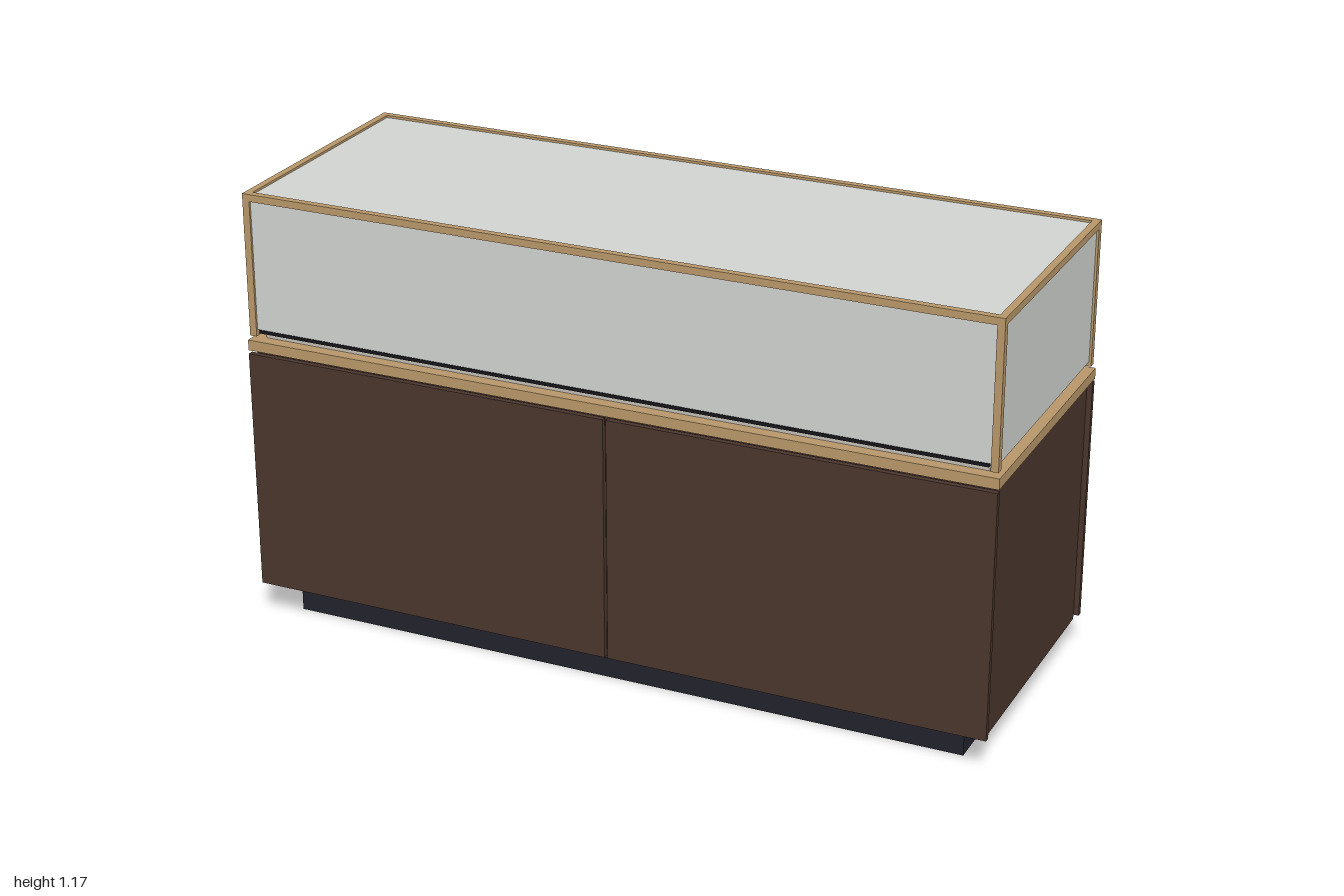
import * as THREE from 'three';

const mat = (name, color, extra = {}) => {
  const m = new THREE.MeshStandardMaterial({ color, ...extra });
  m.name = name;
  return m;
};

export function createModel() {
  const root = new THREE.Group();
  root.name = 'displayCounter';

  const walnut = mat('dark walnut', 0x4a362d);
  const oak = mat('light oak', 0xb8976a);
  const charcoal = mat('charcoal plinth', 0x22222d);
  const black = mat('black metal', 0x16161b);
  const glass = mat('pale glass', 0xd0d3d0);
  const deckGrey = mat('deck lining', 0xc4bfb4);
  const burgundy = mat('burgundy velvet', 0x4a2a30);

  // Box given by its minimum and maximum on each axis
  const box = (name, material, [x0, x1], [y0, y1], [z0, z1], parent = root) => {
    const mesh = new THREE.Mesh(new THREE.BoxGeometry(x1 - x0, y1 - y0, z1 - z0), material);
    mesh.position.set((x0 + x1) / 2, (y0 + y1) / 2, (z0 + z1) / 2);
    mesh.name = name;
    parent.add(mesh);
    return mesh;
  };

  // Recessed plinth and cabinet carcass
  box('plinth', charcoal, [-0.92, 0.92], [0, 0.083], [-0.29, 0.298]);
  box('cabinetBody', walnut, [-0.985, 0.985], [0.083, 0.748], [-0.342, 0.348]);

  // Front panels, back doors and their pulls, one pair per side
  for (const s of [-1, 1]) {
    const span = [Math.min(s * 0.004, s * 0.998), Math.max(s * 0.004, s * 0.998)];
    box('frontPanel', walnut, span, [0.093, 0.74], [0.352, 0.367]);
    box('backDoor', walnut, span, [0.093, 0.74], [-0.36, -0.345]);
    box('doorPull', black, [s * 0.5 - 0.08, s * 0.5 + 0.08], [0.672, 0.685], [-0.367, -0.359]);
  }

  // Counter slab and lined display deck
  box('counterTop', oak, [-1, 1], [0.748, 0.776], [-0.357, 0.364]);
  box('displayDeck', deckGrey, [-0.965, 0.965], [0.776, 0.79], [-0.324, 0.331]);
  box('largePad', burgundy, [-0.73, -0.36], [0.79, 0.802], [-0.095, 0.16]);
  box('smallPad', black, [0.39, 0.63], [0.79, 0.802], [-0.095, 0.045]);

  // Glazed case with an oak frame
  const glassCase = new THREE.Group();
  glassCase.name = 'glassCase';
  glassCase.position.z = 0.0045;
  root.add(glassCase);
  const X = 0.995, Z = 0.3555, T = 0.019, Y0 = 0.788, Y1 = 1.167;

  for (const s of [-1, 1]) {
    const range = (a, b) => (s > 0 ? [a, b] : [-b, -a]);
    // Long and short top rails
    box('longTopRail', oak, [-X + T, X - T], [Y1 - T, Y1], range(Z - T, Z), glassCase);
    box('sideTopRail', oak, range(X - T, X), [Y1 - T, Y1], [-Z + T, Z - T], glassCase);
    // Corner posts
    for (const x of [[-X, -X + T], [X - T, X]])
      box('cornerPost', oak, x, [Y0, Y1], range(Z - T, Z), glassCase);
    // Upright panes and the dark channel below the long ones
    box('longPane', glass, [-X + T, X - T], [0.805, Y1 - T], range(Z - 0.013, Z - 0.006), glassCase);
    box('endPane', glass, range(X - 0.013, X - 0.006), [0.8, Y1 - T], [-Z + T, Z - T], glassCase);
    box('glassChannel', black, [-0.97, 0.97], [0.796, 0.805], range(Z - 0.015, Z - 0.004), glassCase);
  }
  box('topPane', glass, [-X + T, X - T], [Y1 - 0.013, Y1 - 0.006], [-Z + T, Z - T], glassCase);

  return root;
}
